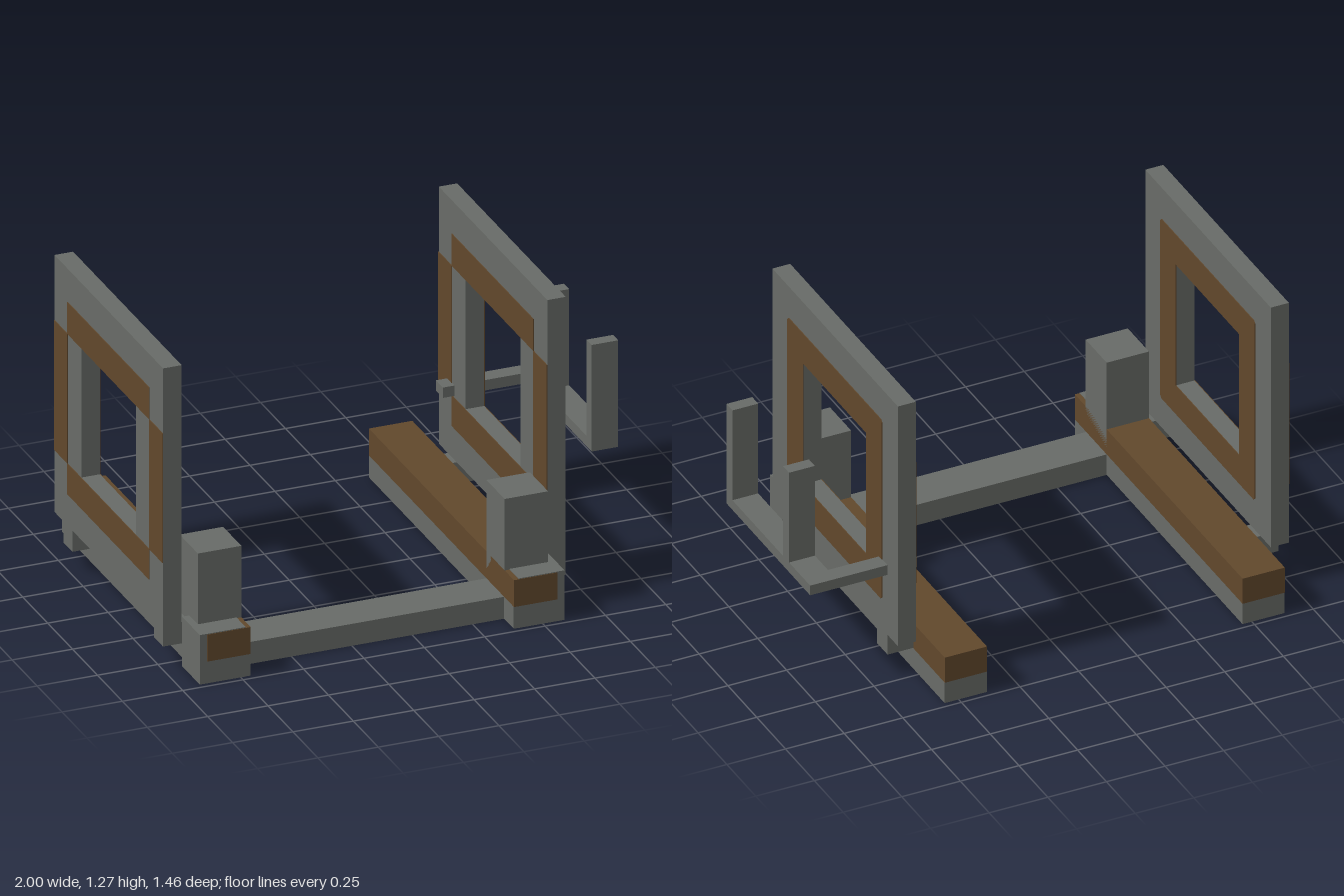
import * as THREE from 'three';

export function createModel() {
  const model = new THREE.Group();
  const grey = new THREE.MeshStandardMaterial({ color: 0x686b67 });
  grey.name = 'grey metal';
  const brown = new THREE.MeshStandardMaterial({ color: 0x61482c });
  brown.name = 'brown wood';

  // box given by its limits on each axis
  function box(name, mat, [x0, x1], [y0, y1], [z0, z1], parent = model) {
    const mesh = new THREE.Mesh(new THREE.BoxGeometry(x1 - x0, y1 - y0, z1 - z0), mat);
    mesh.position.set((x0 + x1) / 2, (y0 + y1) / 2, (z0 + z1) / 2);
    mesh.name = name;
    parent.add(mesh);
    return mesh;
  }

  const points = (list) => list.map(([z, y]) => new THREE.Vector2(z, y));
  const rect = (h, y0, y1) => points([[-h, y0], [h, y0], [h, y1], [-h, y1]]);

  // upright plate drawn in (z, y) with the window cut out, from x0 to x1
  function plate(name, mat, outline, x0, x1, parent) {
    const shape = new THREE.Shape(outline);
    shape.holes.push(new THREE.Path(rect(0.275, 0.45, 1.0)));
    const geo = new THREE.ExtrudeGeometry(shape, { depth: x1 - x0, bevelEnabled: false });
    geo.rotateY(-Math.PI / 2);
    geo.translate(x1, 0, 0);
    const mesh = new THREE.Mesh(geo, mat);
    mesh.name = name;
    parent.add(mesh);
  }

  // panel outline with two feet along the lower edge
  const panelOutline = points([
    [-0.545, 0.185], [-0.455, 0.185], [-0.455, 0.095], [-0.365, 0.095], [-0.365, 0.185],
    [0.455, 0.185], [0.455, 0.095], [0.545, 0.095], [0.545, 1.275], [-0.545, 1.275],
  ]);
  // window surround with slightly clipped corners
  const c = 0.01, w = 0.41, lo = 0.32, hi = 1.135;
  const ringOutline = points([
    [-w + c, lo], [w - c, lo], [w, lo + c], [w, hi - c],
    [w - c, hi], [-w + c, hi], [-w, hi - c], [-w, lo + c],
  ]);

  function windowPanel(name, x0, x1) {
    const group = new THREE.Group();
    group.name = name;
    model.add(group);
    plate('panel', grey, panelOutline, x0, x1, group);
    plate('windowSurround', brown, ringOutline, x1, x1 + 0.003, group);
    // separate strips on the other face
    const face = [x0 - 0.003, x0];
    box('upperStrip', brown, face, [1.0, hi], [-w, w], group);
    box('lowerStrip', brown, face, [lo, 0.45], [-w, w], group);
    box('backStrip', brown, face, [0.45, 1.0], [-0.545, -w], group);
    box('frontStrip', brown, face, [0.45, 1.0], [w, 0.545], group);
  }
  windowPanel('rightPanel', -0.997, -0.92);
  windowPanel('leftPanel', 0.594, 0.67);

  // side rails, each with its post, end block and panel connectors
  const sides = [
    { side: 'right', rail: [-0.89, -0.71], block: [-0.92, -0.73], tab: [-0.92, -0.89] },
    { side: 'left', rail: [0.38, 0.56], block: [0.4, 0.59], tab: [0.56, 0.594] },
  ];
  for (const { side, rail, block, tab } of sides) {
    box(side + 'RailBase', grey, rail, [0, 0.093], [-0.727, 0.726]);
    box(side + 'RailTop', brown, rail, [0.093, 0.207], [-0.728, 0.729]);
    box(side + 'EndBlock', grey, block, [0, 0.21], [0.55, 0.727]);
    box(side + 'Post', grey, rail, [0.09, 0.51], [0.452, 0.635]);
    box(side + 'BackConnector', grey, tab, [0.095, 0.185], [-0.455, -0.365]);
    box(side + 'FrontConnector', grey, tab, [0.095, 0.185], [0.455, 0.545]);
  }

  // beam joining the rails at the front
  box('frontBeam', grey, [-0.71, 0.38], [0, 0.093], [0.452, 0.63]);

  // bracket through the left panel, with two uprights
  box('bracketArm', grey, [0.545, 0.89], [0.458, 0.502], [-0.455, -0.385]);
  box('bracketShelf', grey, [0.89, 1], [0.458, 0.502], [-0.455, 0.272]);
  for (const s of [-1, 1]) {
    const z = [0.22 * s, 0.272 * s].sort((a, b) => a - b);
    box('bracketUpright', grey, [0.89, 1], [0.502, 0.91], z);
  }
  return model;
}
